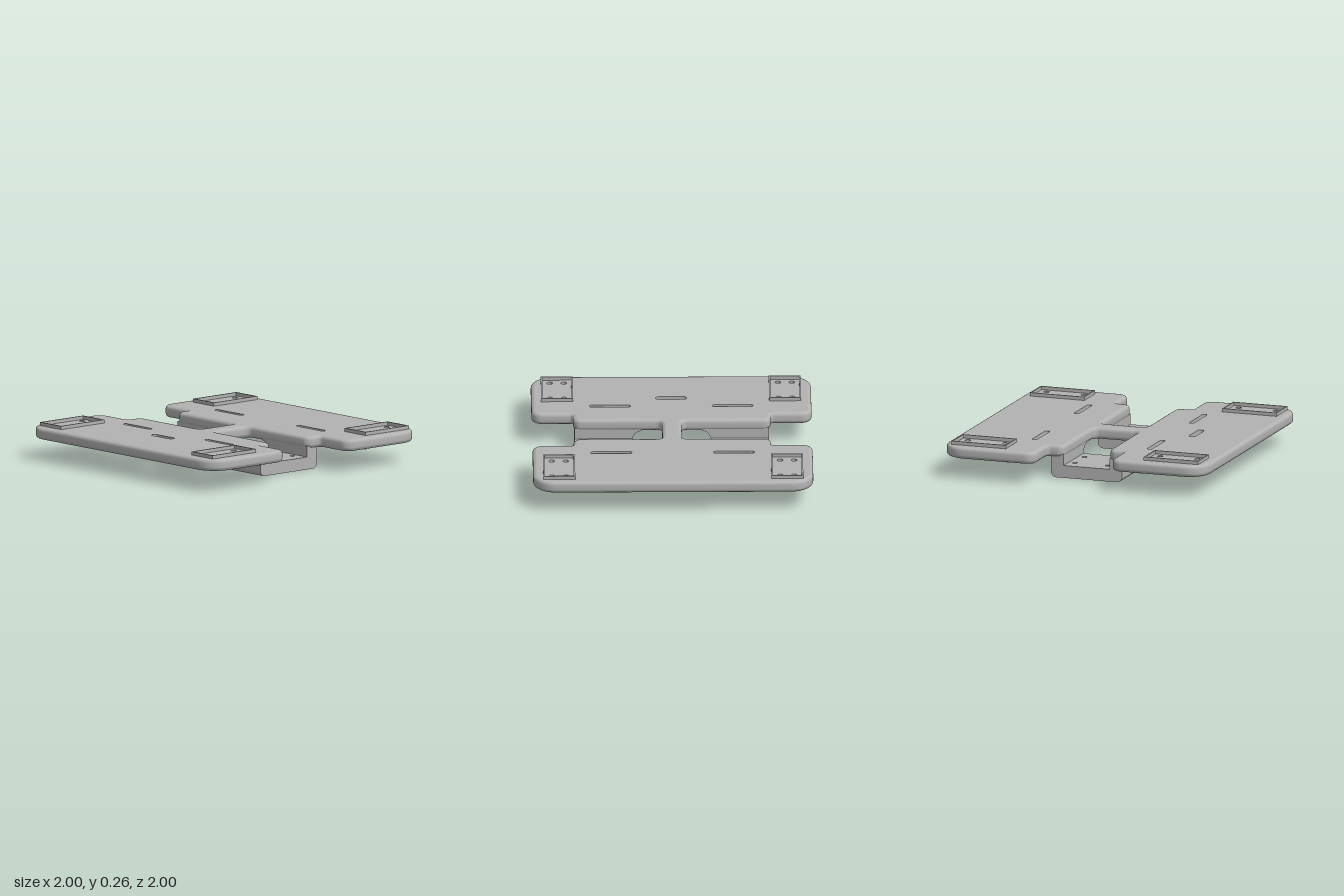
import * as THREE from 'three';
import { toCreasedNormals } from 'three/addons/utils/BufferGeometryUtils.js';

const TOP = 0.235, BOTTOM = 0.15, BEVEL = 0.026;

// closed outline with rounded corners from [x, z, radius]
function roundedOutline(points) {
  const shape = new THREE.Shape();
  points.forEach(([x, z, r], i) => {
    const p = new THREE.Vector2(x, z);
    const toward = (q) => new THREE.Vector2(q[0], q[1]).sub(p).setLength(r).add(p);
    const a = toward(points[(i + points.length - 1) % points.length]);
    const b = toward(points[(i + 1) % points.length]);
    if (i === 0) shape.moveTo(a.x, a.y); else shape.lineTo(a.x, a.y);
    // cubic that follows a quarter circle
    const k = 0.5523;
    const c1 = a.clone().lerp(p, k), c2 = b.clone().lerp(p, k);
    shape.bezierCurveTo(c1.x, c1.y, c2.x, c2.y, b.x, b.y);
  });
  shape.closePath();
  return shape;
}

function roundHole(x, z, r) {
  const p = new THREE.Path();
  p.absarc(x, z, r, 0, Math.PI * 2, true);
  return p;
}

function slotHole(x, z, length, width) {
  const p = new THREE.Path(), r = width / 2, h = length / 2 - r;
  p.absarc(x + h, z, r, -Math.PI / 2, Math.PI / 2, false);
  p.absarc(x - h, z, r, Math.PI / 2, Math.PI * 1.5, false);
  p.closePath();
  return p;
}

function rectangle(Type, x0, z0, x1, z1) {
  return new Type().setFromPoints([[x0, z0], [x1, z0], [x1, z1], [x0, z1], [x0, z0]]
    .map(([x, z]) => new THREE.Vector2(x, z)));
}

// extrude a plan shape (x, z) between two heights
function slab(shape, y0, y1) {
  const g = new THREE.ExtrudeGeometry(shape, { depth: y1 - y0, bevelEnabled: false, curveSegments: 8 });
  return toCreasedNormals(g.rotateX(Math.PI / 2).translate(0, y1, 0), 0.6);
}

function deckOutline() {
  // one quarter, from the neck to the outer corner, inset by the edge rounding
  const quarter = [[0.044, 0.196, 0.07], [0.68, 0.196, 0.03], [0.68, 0.316, 0.05],
    [0.974, 0.316, 0.05], [0.974, 0.974, 0.14]];
  const flip = (sx, sz) => quarter.map(([x, z, r]) => [x * sx, z * sz, r]);
  return [...flip(1, 1), ...flip(-1, 1).reverse(), ...flip(-1, -1), ...flip(1, -1).reverse()];
}

export function createModel() {
  const model = new THREE.Group();
  const grey = new THREE.MeshStandardMaterial({ color: 0xb2b2b2 });
  grey.name = 'grey';
  const add = (name, geometry, parent = model) => {
    const m = new THREE.Mesh(geometry, grey);
    m.name = name;
    parent.add(m);
    return m;
  };

  // rounded rim of the deck: only the side faces of a bevelled extrusion
  const outline = deckOutline();
  const full = new THREE.ExtrudeGeometry(roundedOutline(outline), {
    depth: TOP - BOTTOM - 2 * BEVEL, bevelThickness: BEVEL, bevelSize: BEVEL, bevelSegments: 5, curveSegments: 8,
  });
  const side = full.groups.find((g) => g.materialIndex === 1);
  const rim = new THREE.BufferGeometry();
  rim.setAttribute('position', new THREE.BufferAttribute(
    full.attributes.position.array.slice(side.start * 3, (side.start + side.count) * 3), 3));
  rim.rotateX(Math.PI / 2).translate(0, TOP - BEVEL, 0);
  add('deckRim', toCreasedNormals(rim, 0.9));

  // flat deck with its slots and bolt holes
  const deck = roundedOutline(outline);
  const pads = [];
  for (const sx of [-1, 1]) {
    for (const [z0, z1] of [[0.52, 0.934], [-0.942, -0.528]]) {
      pads.push([sx, z0, z1]);
      for (const x of [0.765, 0.865])
        for (const z of [z0 + 0.066, z0 + 0.35]) deck.holes.push(roundHole(sx * x, z, 0.021));
    }
    for (const z of [0.435, -0.44]) deck.holes.push(slotHole(sx * 0.438, z, 0.294, 0.037));
  }
  deck.holes.push(slotHole(0, 0.582, 0.222, 0.05));
  add('deck', slab(deck, BOTTOM, TOP));

  // raised frames around the corner bolt holes
  for (const [sx, z0, z1] of pads) {
    const a = Math.min(sx * 0.7, sx * 0.928), b = Math.max(sx * 0.7, sx * 0.928), t = 0.011;
    const frame = rectangle(THREE.Shape, a, z0, b, z1);
    frame.holes.push(rectangle(THREE.Path, a + t, z0 + t, b - t, z1 - t));
    add('boltFrame', slab(frame, TOP - 0.005, 0.26));
  }

  // thin ribs under the deck
  for (const z of [-0.505, 0.505])
    add('underRib', new THREE.BoxGeometry(1.92, 0.012, 0.01).translate(0, 0.148, z));

  // dropped channels on both sides of the neck
  for (const sx of [-1, 1]) {
    const channel = new THREE.Group();
    channel.name = sx > 0 ? 'leftChannel' : 'rightChannel';
    model.add(channel);
    const X0 = 0.28, X1 = 0.695, R = 0.04;

    const floor = rectangle(THREE.Shape, Math.min(sx * X0, sx * X1), -0.23, Math.max(sx * X0, sx * X1), 0.23);
    for (const x of [0.388, 0.588])
      for (const z of [-0.128, 0.122]) floor.holes.push(roundHole(sx * x, z, 0.018));
    add('channelFloor', slab(floor, 0, 0.09), channel);

    // walls flare into the deck on the inner side
    const wall = new THREE.Shape();
    wall.moveTo(sx * X0, R);
    wall.lineTo(sx * X1, R);
    wall.lineTo(sx * X1, 0.17);
    wall.lineTo(sx * 0.215, 0.17);
    wall.lineTo(sx * 0.215, 0.149);
    wall.bezierCurveTo(sx * 0.251, 0.149, sx * X0, 0.115, sx * X0, 0.08);
    wall.closePath();
    for (const sz of [-1, 1]) {
      const g = new THREE.ExtrudeGeometry(wall, { depth: 0.095, bevelEnabled: false, curveSegments: 8 });
      add('channelWall', toCreasedNormals(g.translate(0, 0, sz > 0 ? 0.175 : -0.27), 0.6), channel);
      // rounded lower edge
      const edge = new THREE.CylinderGeometry(R, R, X1 - X0, 24).rotateZ(Math.PI / 2);
      add('channelEdge', edge.translate(sx * (X0 + X1) / 2, R, sz * 0.23), channel);
    }
  }
  return model;
}
